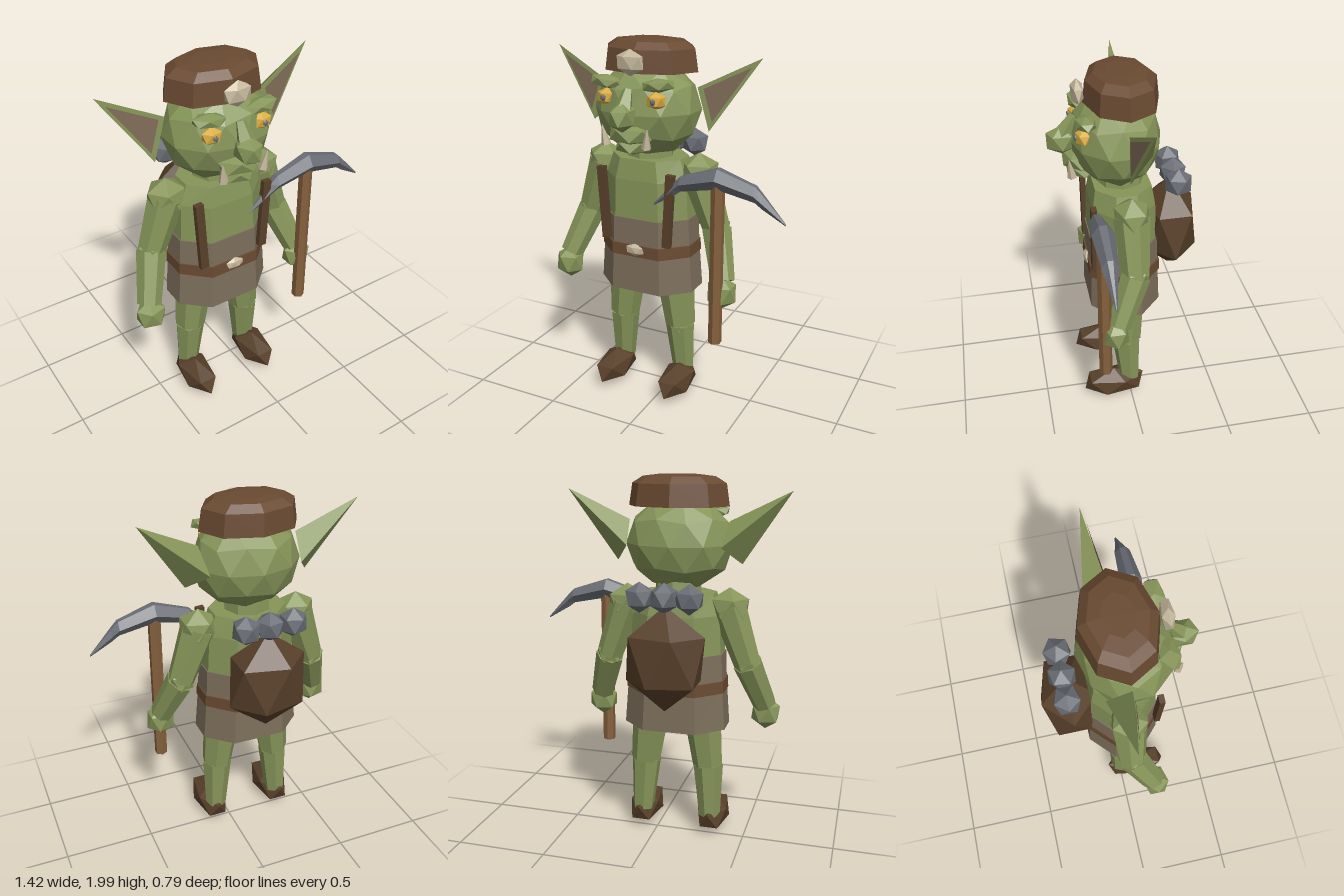
import * as THREE from 'three';
import { ConvexGeometry } from 'three/addons/geometries/ConvexGeometry.js';

const V = (x, y, z) => new THREE.Vector3(x, y, z);

function mat(name, color) {
  const m = new THREE.MeshStandardMaterial({ color });
  m.name = name;
  return m;
}

// give every face its own normal for the faceted look
function facet(geo) {
  const g = geo.index ? geo.toNonIndexed() : geo;
  g.computeVertexNormals();
  return g;
}

// icosahedron standing on one of its corners
function ico(rx, ry, rz, detail = 0) {
  return facet(new THREE.IcosahedronGeometry(1, detail)
    .rotateX(-Math.atan((1 + Math.sqrt(5)) / 2)).rotateY(-Math.PI / 2).scale(rx, ry, rz));
}

// tapered cylinder from a to b
function limb(a, b, ra, rb, sides = 7) {
  const d = b.clone().sub(a);
  const g = new THREE.CylinderGeometry(rb, ra, d.length(), sides);
  g.applyQuaternion(new THREE.Quaternion().setFromUnitVectors(V(0, 1, 0), d.clone().normalize()));
  const c = a.clone().add(b).multiplyScalar(0.5);
  return facet(g.translate(c.x, c.y, c.z));
}

// skin over a row of equal cross-sections, closed at both ends
function loft(rings) {
  const p = [], n = rings[0].length, last = rings[rings.length - 1];
  const tri = (...vs) => vs.forEach(v => p.push(v.x, v.y, v.z));
  for (let i = 0; i < rings.length - 1; i++) for (let j = 0; j < n; j++) {
    const k = (j + 1) % n, r = rings[i], s = rings[i + 1];
    tri(r[j], r[k], s[k]);
    tri(r[j], s[k], s[j]);
  }
  for (let j = 1; j < n - 1; j++) {
    tri(rings[0][0], rings[0][j + 1], rings[0][j]);
    tri(last[0], last[j], last[j + 1]);
  }
  const g = new THREE.BufferGeometry();
  g.setAttribute('position', new THREE.Float32BufferAttribute(p, 3));
  g.computeVertexNormals();
  return g;
}

// eight-cornered body section at height y
const bodyRing = (y, hx, hz) =>
  [[1, .36], [1, -.36], [.52, -1], [-.52, -1], [-1, -.36], [-1, .36], [-.52, 1], [.52, 1]]
    .map(([x, z]) => V(x * hx, y, z * hz + 0.02));

export function createModel() {
  const skin = mat('green skin', 0x869559);
  const cloth = mat('tunic cloth', 0x7c6e5b);
  const leather = mat('brown leather', 0x694a31);
  const dark = mat('dark leather', 0x58402a);
  const wood = mat('handle wood', 0x85603d);
  const steel = mat('grey metal', 0x696d74);
  const bone = mat('bone', 0xc6b99d);
  const gold = mat('amber eye', 0xdaac40);
  const innerEar = mat('inner ear', 0x7d6a55);
  innerEar.side = THREE.DoubleSide;

  const model = new THREE.Group();
  const body = new THREE.Group();
  body.name = 'body';
  body.position.x = -0.11;
  model.add(body);
  const add = (name, geo, material, x = 0, y = 0, z = 0) => {
    const m = new THREE.Mesh(geo, material);
    m.name = name;
    m.position.set(x, y, z);
    body.add(m);
    return m;
  };

  // torso and clothing
  add('torso', loft([bodyRing(1.05, .25, .175), bodyRing(1.28, .238, .168), bodyRing(1.39, .2, .15)]), skin);
  add('neck', limb(V(0, 1.36, .02), V(0, 1.48, .02), .13, .12, 8), skin);
  add('tunic', loft([bodyRing(.655, .28, .195), bodyRing(.9, .262, .185), bodyRing(1.07, .255, .18)]), cloth);
  add('belt', loft([bodyRing(.86, .27, .196), bodyRing(.925, .267, .193)]), leather);
  add('buckle', ico(.06, .036, .02), bone, 0, .9, .213);

  // head and face
  add('head', ico(.29, .255, .24, 1), skin, 0, 1.645, .045);
  add('muzzle', ico(.13, .065, .1), skin, 0, 1.545, .235);
  add('lowerLip', ico(.1, .05, .1), skin, 0, 1.48, .215);
  add('noseBridge', limb(V(0, 1.64, .33), V(0, 1.77, .255), .06, .025, 5), skin);
  add('nose', ico(.07, .078, .09), skin, 0, 1.645, .32);

  // cap with ornament
  const capProfile = [[0, 1.84], [.27, 1.84], [.252, 1.955], [.195, 1.99], [.11, 2], [0, 2]];
  const cap = new THREE.LatheGeometry(capProfile.map(([r, y]) => new THREE.Vector2(r, y)), 8);
  add('cap', facet(cap.scale(1, 1, .72)), leather, 0, 0, .012);
  add('capOrnament', ico(.083, .067, .036), bone, 0, 1.9, .232);

  for (const s of [-1, 1]) {
    const side = s > 0 ? 'left' : 'right';
    const P = (x, y, z) => V(s * x, y, z);

    // brow, eye and tusk
    add(side + 'Brow', ico(.1, .036, .058), skin, s * .145, 1.795, .213).rotation.z = s * .12;
    add(side + 'Eye', ico(.058, .047, .045), gold, s * .14, 1.72, .225);
    add(side + 'Pupil', ico(.015, .018, .01), steel, s * .14, 1.72, .264);
    add(side + 'Tusk', limb(P(.115, 1.49, .285), P(.128, 1.59, .3), .026, .003, 5), bone);

    // ear with its inner face
    const front = [P(.595, 1.925, -.035), P(.27, 1.765, .02), P(.34, 1.545, .03)];
    add(side + 'Ear', facet(new ConvexGeometry([...front, P(.25, 1.64, -.1)])), skin);
    const mid = front.reduce((a, v) => a.add(v), V(0, 0, 0)).multiplyScalar(1 / 3);
    const inner = new THREE.BufferGeometry().setFromPoints(
      front.map(v => v.clone().lerp(mid, .26).add(V(0, 0, .007))));
    inner.computeVertexNormals();
    add(side + 'InnerEar', inner, innerEar);

    // arm
    const shoulder = P(.28, 1.32, .01), elbow = P(.387, 1.02, .01), wrist = P(.472, .77, .115);
    add(side + 'Shoulder', ico(.115, .105, .105), skin, s * .282, 1.32, .01);
    add(side + 'UpperArm', limb(shoulder, elbow, .098, .074), skin);
    add(side + 'Elbow', ico(.08, .08, .08), skin, elbow.x, elbow.y, elbow.z);
    add(side + 'Forearm', limb(elbow, wrist, .08, .065), skin);
    add(side + 'Hand', ico(.088, .095, .078), skin, s * .475, .715, .133);

    // leg and boot
    const hip = P(.145, .72, .02), knee = P(.18, .42, .02), ankle = P(.195, .12, .005);
    add(side + 'Thigh', limb(hip, knee, .108, .085), skin);
    add(side + 'Knee', ico(.086, .075, .086), skin, knee.x, knee.y, knee.z);
    add(side + 'Shin', limb(knee, ankle, .084, .06), skin);
    add(side + 'Boot', ico(.197, .092, .096), dark, s * .2, .1, .1).rotation.y = -Math.PI / 2;

    // shoulder strap
    add(side + 'Strap', new THREE.BoxGeometry(.046, .4, .03), dark, s * .192, 1.14, .195).rotation.z = -s * .06;
  }

  // backpack with ore lumps on top
  add('backpack', ico(.235, .28, .17), dark, 0, 1.08, -.253);
  [-.13, 0, .13].forEach((x, i) => {
    add('ore' + (i + 1), ico(.08, .08, .078), steel, x, 1.4, -.268).rotation.y = i * .5;
  });

  // pickaxe
  add('pickaxeHandle', limb(V(.465, .445, .19), V(.465, 1.32, .19), .036, .036, 6), wood);
  const blade = [ // x, bottom, top, half depth
    [-.36, 1.165, 1.175, .004], [-.24, 1.235, 1.305, .03], [-.2, 1.265, 1.345, .042], [0, 1.305, 1.41, .058],
    [.2, 1.265, 1.345, .042], [.24, 1.235, 1.305, .03], [.36, 1.165, 1.175, .004]];
  add('pickaxeHead', loft(blade.map(([x, lo, hi, d]) =>
    [[hi, -.35], [hi, .35], [(hi + lo) / 2, 1], [lo, .35], [lo, -.35], [(hi + lo) / 2, -1]]
      .map(([y, z]) => V(.465 + x, y, .19 + z * d)))), steel);

  return model;
}
